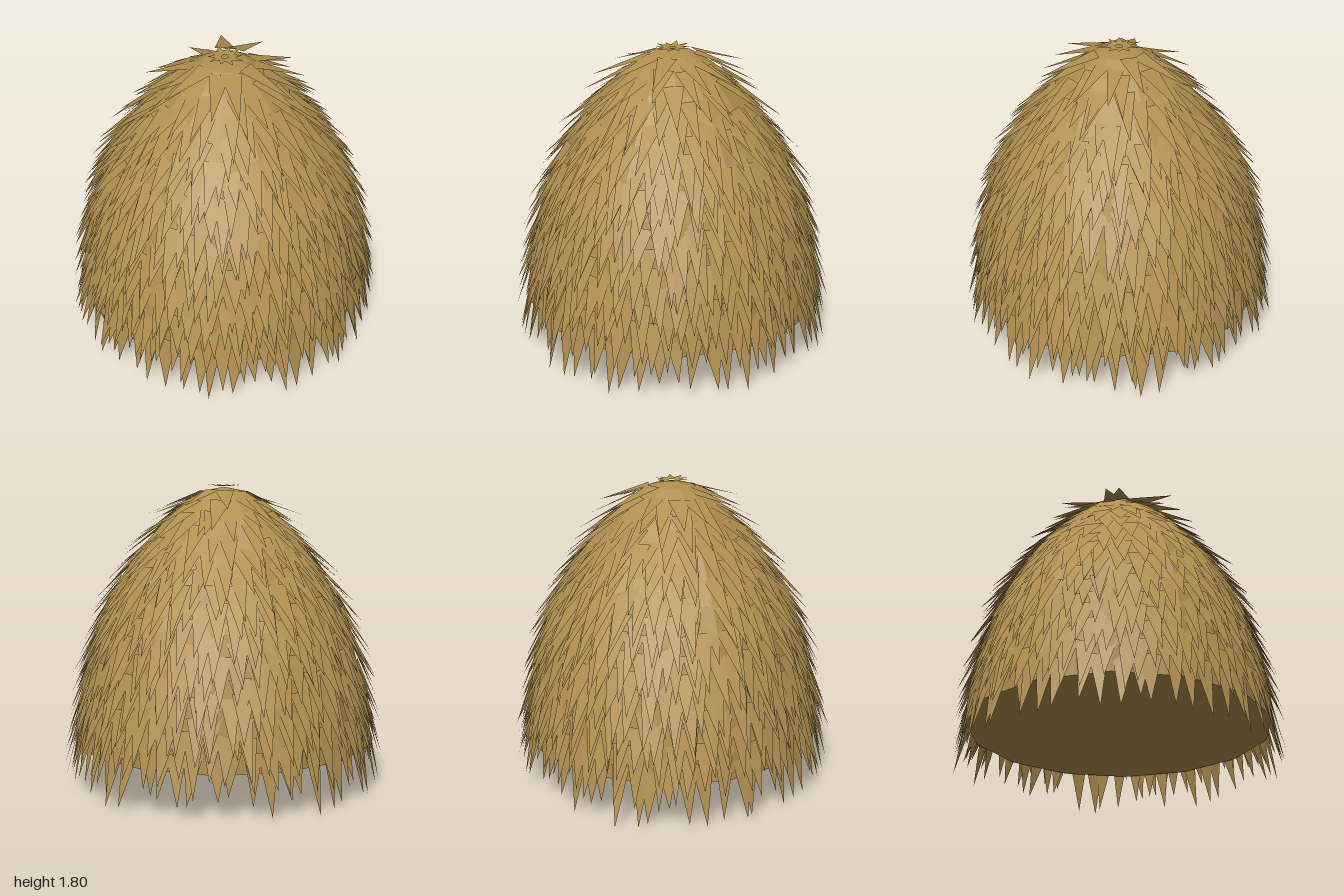
import * as THREE from 'three';

// dome profile: radius, height from rim to crown
const PROFILE = [
  [0.9, 0.25], [0.895, 0.4], [0.865, 0.6], [0.815, 0.8], [0.75, 1.0], [0.655, 1.2],
  [0.52, 1.4], [0.345, 1.6], [0.24, 1.69], [0.13, 1.76], [0, 1.785],
].map(([r, y]) => new THREE.Vector2(r, y));

function seededRandom(seed) {
  return () => {
    seed = (seed * 1664525 + 1013904223) % 4294967296;
    return seed / 4294967296;
  };
}

// one flat pointed blade: base edge up the slope, tip hanging down and outward
function addBlade(out, angle, base, down, length, width, yaw) {
  const radial = new THREE.Vector3(Math.sin(angle), 0, Math.cos(angle));
  const side = new THREE.Vector3(Math.cos(angle), 0, -Math.sin(angle));
  const root = radial.clone().multiplyScalar(base.x).setY(base.y);
  const dir = radial.clone().multiplyScalar(down.x).setY(down.y);
  const along = dir.clone().multiplyScalar(Math.cos(yaw)).addScaledVector(side, Math.sin(yaw));
  const across = side.clone().multiplyScalar(Math.cos(yaw)).addScaledVector(dir, -Math.sin(yaw));
  const tip = root.clone().addScaledVector(along, length);
  tip.y = Math.max(tip.y, 0);
  const left = root.clone().addScaledVector(across, -width / 2);
  const right = root.clone().addScaledVector(across, width / 2);
  out.push(...left.toArray(), ...tip.toArray(), ...right.toArray());
}

function bladeMesh(name, positions, material) {
  const geometry = new THREE.BufferGeometry();
  geometry.setAttribute('position', new THREE.Float32BufferAttribute(positions, 3));
  geometry.computeVertexNormals();
  const mesh = new THREE.Mesh(geometry, material);
  mesh.name = name;
  return mesh;
}

export function createModel() {
  const model = new THREE.Group();
  model.name = 'strawMound';
  const straw = new THREE.MeshStandardMaterial({ color: 0xb08f50, flatShading: true, side: THREE.DoubleSide });
  straw.name = 'straw';
  const random = seededRandom(7);

  // solid core with a flat underside
  const core = new THREE.Mesh(
    new THREE.LatheGeometry([new THREE.Vector2(0, 0.25), ...PROFILE], 14), straw);
  core.name = 'core';
  model.add(core);

  // overlapping rows of blades
  const curve = new THREE.SplineCurve(PROFILE);
  const rows = 17;
  const blades = [];
  for (let i = 0; i < rows; i++) {
    const u = 0.06 + (i / (rows - 1)) * 0.86;
    const point = curve.getPointAt(u);
    const slope = curve.getTangentAt(u).negate();
    const count = Math.max(11, Math.round((2 * Math.PI * point.x) / 0.098));
    for (let j = 0; j < count; j++) {
      const angle = ((j + (i % 2) / 2 + (random() - 0.5) * 0.6) / count) * Math.PI * 2;
      const lift = 0.09 + random() * 0.12;
      const down = slope.clone().rotateAround(new THREE.Vector2(), lift);
      const base = point.clone();
      base.x -= 0.012;
      base.y += (random() - 0.5) * 0.04;
      const length = 0.24 + random() * 0.12;
      addBlade(blades, angle, base, down, length, 0.1 + random() * 0.03, (random() - 0.5) * 0.2);
    }
  }
  model.add(bladeMesh('strawBlades', blades, straw));

  // small star of blades on the crown
  const crown = [];
  for (let j = 0; j < 10; j++) {
    addBlade(crown, (j / 10) * Math.PI * 2, new THREE.Vector2(0.02, 1.79),
      new THREE.Vector2(1, 0.03 + random() * 0.08), 0.07 + random() * 0.04, 0.06, 0);
  }
  model.add(bladeMesh('crownBlades', crown, straw));
  return model;
}
